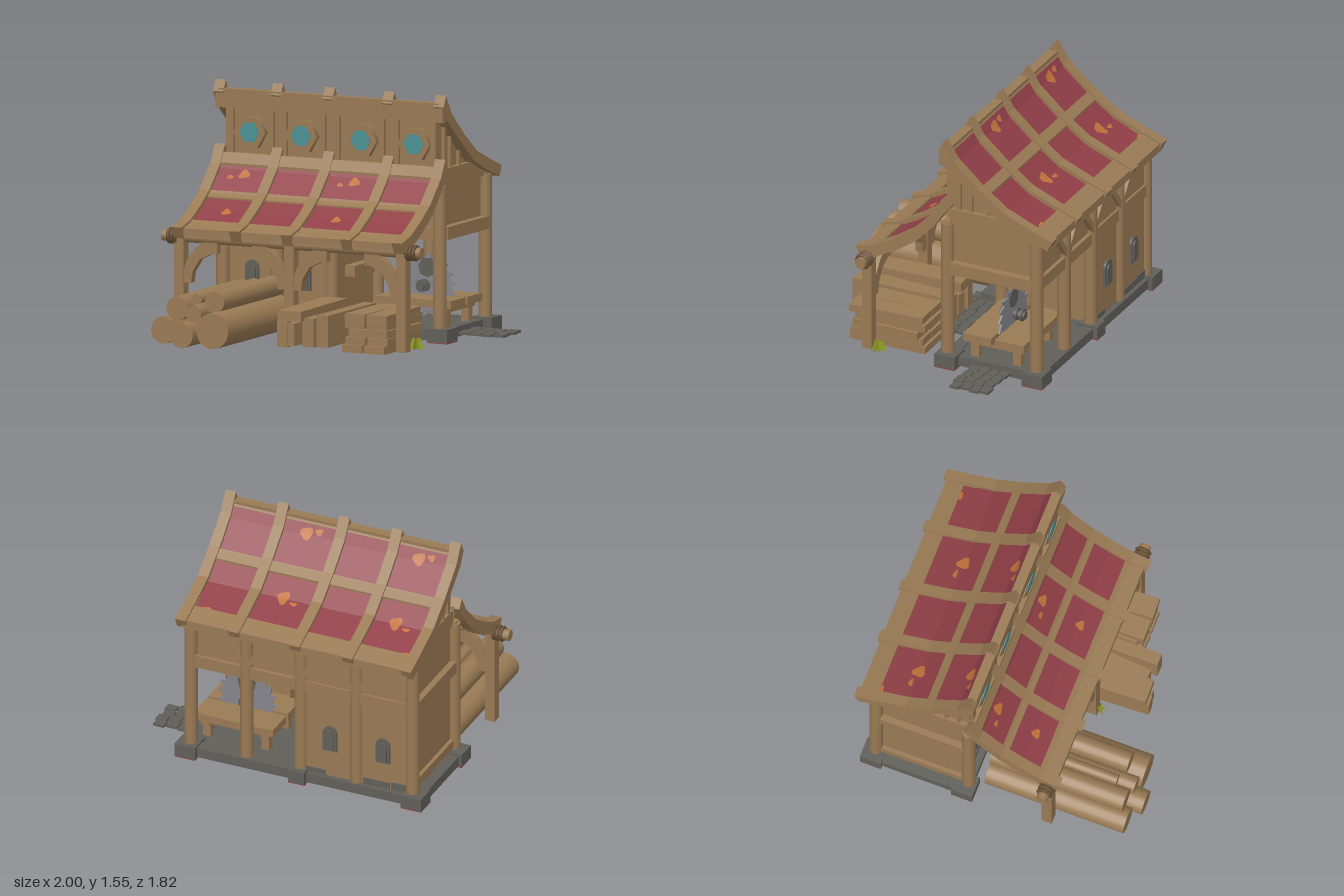
import * as THREE from 'three';

const mat = (name, color) => {
  const m = new THREE.MeshStandardMaterial({ color });
  m.name = name;
  return m;
};

// Roof top edges as [z, y]
const UPPER = [[-0.91, 1.02], [-0.75, 1.08], [-0.57, 1.155], [-0.4, 1.28], [-0.23, 1.43], [-0.155, 1.55]];
const LOWER = [[-0.145, 1.15], [-0.08, 1.035], [0.065, 0.89], [0.19, 0.805], [0.33, 0.73], [0.45, 0.7]];
const UPPER_UNDER = [[-0.12, 1.48], [-0.17, 1.39], [-0.3, 1.28], [-0.45, 1.16], [-0.55, 1.085], [-0.7, 1.02], [-0.88, 0.955]];
const LOWER_UNDER = [[0.415, 0.63], [0.32, 0.65], [0.17, 0.73], [0.03, 0.825], [-0.1, 0.965], [-0.185, 1.09]];
const RAFTERS = [-0.87, -0.47, -0.11, 0.305, 0.665];

function heightAt(prof, z) {
  for (let i = 1; i < prof.length; i++) {
    const [a, b] = [prof[i - 1], prof[i]];
    if (z <= b[0] || i === prof.length - 1) return a[1] + (b[1] - a[1]) * (z - a[0]) / (b[0] - a[0]);
  }
}

export function createModel() {
  const g = new THREE.Group();
  g.name = 'sawmill';
  const wood = mat('wood', 0x997a54), red = mat('roofRed', 0x903e46), orange = mat('patchOrange', 0xc0703a);
  const teal = mat('windowTeal', 0x4a9294), stone = mat('stone', 0x605f59), steel = mat('steel', 0x85858c);
  const green = mat('grass', 0x93a023), rope = mat('rope', 0x6b5237);
  orange.side = THREE.DoubleSide;
  green.side = THREE.DoubleSide;

  const add = (name, geo, m, x = 0, y = 0, z = 0) => {
    const mesh = new THREE.Mesh(geo, m);
    mesh.name = name;
    mesh.position.set(x, y, z);
    g.add(mesh);
    return mesh;
  };
  // Box given by its limits on each axis
  const box = (name, m, x0, x1, y0, y1, z0, z1) =>
    add(name, new THREE.BoxGeometry(x1 - x0, y1 - y0, z1 - z0), m, (x0 + x1) / 2, (y0 + y1) / 2, (z0 + z1) / 2);
  const shapeOf = pts => new THREE.Shape(pts.map(p => new THREE.Vector2(...p)));
  const plate = (name, m, shape, depth, x, y, z) =>
    add(name, new THREE.ExtrudeGeometry(shape, { depth, bevelEnabled: false, curveSegments: 6 }), m, x, y, z);
  // Side profile [z, y] drawn out from x0 to x1
  const profile = (name, m, pts, x0, x1) => {
    const geo = new THREE.ExtrudeGeometry(shapeOf(pts.map(([z, y]) => [-z, y])), { depth: x1 - x0, bevelEnabled: false });
    return add(name, geo.rotateY(Math.PI / 2), m, x0);
  };
  const rod = (name, m, r, len, axis, x, y, z, sides = 12) => {
    const geo = new THREE.CylinderGeometry(r, r, len, sides);
    if (axis === 'x') geo.rotateZ(Math.PI / 2);
    if (axis === 'z') geo.rotateX(Math.PI / 2);
    return add(name, geo, m, x, y, z);
  };
  // Strip that follows a roof curve between two z values
  const band = (name, m, prof, z0, z1, drop, thick, x0, x1) => {
    const zs = [z0, ...prof.map(p => p[0]).filter(z => z > z0 && z < z1), z1];
    const top = zs.map(z => [z, heightAt(prof, z) - drop]);
    profile(name, m, [...top, ...top.map(([z, y]) => [z, y - thick]).reverse()], x0, x1);
  };
  // Thin rounded blob lying on a roof curve
  const patch = (prof, x, z, rx, rz) => {
    const geo = new THREE.CircleGeometry(1, 14).rotateX(-Math.PI / 2);
    const p = geo.attributes.position;
    for (let i = 0; i < p.count; i++) {
      const k = 1 + 0.2 * Math.sin(3 * Math.atan2(p.getZ(i), p.getX(i)) + 0.8);
      const pz = z + p.getZ(i) * rz * k;
      p.setXYZ(i, x + p.getX(i) * rx * k, heightAt(prof, pz) - 0.022, pz);
    }
    geo.computeVertexNormals();
    add('roofPatch', geo, orange);
  };

  // Roofs: rafters, red panels on wooden lining, rails
  for (const x of RAFTERS) {
    profile('upperRafter', wood, [...UPPER, ...UPPER_UNDER], x - 0.035, x + 0.035);
    profile('lowerRafter', wood, [...LOWER, ...LOWER_UNDER], x - 0.035, x + 0.035);
  }
  band('upperPanel', red, UPPER, -0.8, -0.19, 0.028, 0.015, -0.85, 0.65);
  band('upperLining', wood, UPPER, -0.88, -0.18, 0.043, 0.02, -0.86, 0.655);
  band('lowerPanel', red, LOWER, -0.115, 0.35, 0.028, 0.015, -0.85, 0.65);
  band('lowerLining', wood, LOWER, -0.115, 0.4, 0.043, 0.02, -0.86, 0.655);
  for (const [z0, z1] of [[-0.89, -0.77], [-0.45, -0.395]])
    band('upperRail', wood, UPPER, z0, z1, 0.014, 0.055, -0.87, 0.665);
  band('ridgeRail', wood, UPPER, -0.2, -0.17, 0.03, 0.06, -0.87, 0.665);
  for (const [z0, z1, drop] of [[-0.125, -0.09, 0.012], [0.05, 0.095, 0.018], [0.3, 0.42, 0.014]])
    band('lowerRail', wood, LOWER, z0, z1, drop, 0.05, -0.87, 0.665);
  for (const x of [-0.65, 0.115]) {
    patch(UPPER, x, -0.575, 0.038, 0.042);
    patch(UPPER, x - 0.08, -0.6, 0.026, 0.013);
    patch(UPPER, x, -0.23, 0.04, 0.026);
    patch(UPPER, x - 0.08, -0.215, 0.024, 0.012);
    patch(LOWER, x, -0.05, 0.036, 0.024);
    patch(LOWER, x - 0.09, -0.03, 0.022, 0.01);
    patch(LOWER, x, 0.2, 0.03, 0.025);
  }
  for (const x of [-0.815, 0.55]) patch(UPPER, x, -0.765, 0.026, 0.016);

  // Attic body with its front trim
  profile('attic', wood, [[-0.17, 0.97], [-0.85, 0.97], [-0.85, 1.015], [-0.57, 1.1], [-0.4, 1.22], [-0.2, 1.4], [-0.17, 1.45]], -0.84, 0.63);
  box('ridgeBeam', wood, -0.89, 0.69, 1.38, 1.48, -0.175, -0.125);
  box('ridgeCap', wood, -0.87, 0.665, 1.48, 1.5, -0.185, -0.125);
  box('sillBeam', wood, -0.87, 0.66, 1.03, 1.1, -0.19, -0.13);
  for (const s of [-0.865, 0.625]) {
    profile('gableBeam', wood, [[-0.18, 0.97], [-0.85, 0.97], [-0.85, 1.02], [-0.7, 1.08], [-0.18, 1.08]], s, s + 0.035);
    for (const [z, h] of [[-0.24, 1.36], [-0.32, 1.28], [-0.44, 1.17]]) box('gableSlat', wood, s + 0.005, s + 0.025, 1.08, h, z - 0.012, z + 0.012);
  }
  for (const x of [-0.8, -0.52, -0.43, -0.16, -0.06, 0.25, 0.35, 0.61]) box('wallSlat', wood, x - 0.02, x + 0.02, 1.1, 1.39, -0.175, -0.15);
  for (const x of [-0.66, -0.3, 0.115, 0.485]) {
    rod('windowFrame', wood, 0.112, 0.045, 'z', x, 1.235, -0.1535, 6).rotation.z = Math.PI / 2;
    rod('windowPane', teal, 0.07, 0.008, 'z', x, 1.235, -0.131, 6).rotation.z = Math.PI / 2;
  }

  // Closed room, storey above the open bay, round posts
  box('room', wood, -0.85, -0.11, 0.06, 0.98, -0.79, -0.19);
  box('upperStorey', wood, -0.11, 0.64, 0.66, 0.98, -0.78, -0.19);
  for (const z of [-0.165, -0.78]) {
    for (const x of [-0.86, -0.48, -0.1, 0.65]) rod('post', wood, 0.042, 0.9, 'y', x, 0.53, z);
    box('wallBeam', wood, -0.86, 0.65, 0.64, 0.72, z - 0.025, z + 0.025);
    box('topBeam', wood, -0.88, 0.67, 0.92, 0.99, z - 0.03, z + 0.03);
  }
  rod('post', wood, 0.042, 0.9, 'y', 0.27, 0.53, -0.78);
  box('sideBeam', wood, 0.635, 0.69, 0.64, 0.72, -0.76, -0.2);
  box('sideBeam', wood, -0.89, -0.84, 0.64, 0.72, -0.78, -0.18);
  box('sideBeam', wood, -0.875, -0.84, 0.1, 0.16, -0.78, -0.18);
  for (const [x, d] of [[-0.1, 1], [-0.1, -1], [0.27, 1], [0.27, -1], [-0.48, 1], [-0.48, -1]])
    box('backBrace', wood, x + d * 0.09 - 0.018, x + d * 0.09 + 0.018, 0.71, 0.97, -0.815, -0.78).rotation.z = -d * 0.65;

  // Arched shutters, front and back
  const arch = (w, h) => {
    const s = new THREE.Shape();
    s.moveTo(-w, 0).lineTo(w, 0).lineTo(w, h - w).absarc(0, h - w, w, 0, Math.PI, false).lineTo(-w, 0);
    return s;
  };
  for (const x of [-0.665, -0.305]) for (const [z, s] of [[-0.195, 1], [-0.785, -1]]) {
    plate('shutter', stone, arch(0.048, 0.17), 0.02, x, 0.26, s > 0 ? z : z - 0.02);
    plate('shutterPanel', stone, arch(0.03, 0.13), 0.03, x, 0.275, s > 0 ? z : z - 0.03);
  }

  // Stone base
  box('floor', stone, -0.88, 0.64, 0.035, 0.07, -0.79, -0.17);
  for (const z of [-0.18, -0.785]) {
    box('curb', stone, -0.9, 0.68, 0.012, 0.076, z - 0.04, z + 0.04);
    for (const x of [-0.88, -0.1, 0.66]) {
      const w = x === -0.1 ? 0.055 : 0.07;
      box('cornerStone', stone, x - w, x + w, 0.006, 0.09, z - 0.07, z + 0.07);
      if (x !== -0.1 || z < -0.5) box('cornerStoneBottom', red, x - w, x + w, 0, 0.006, z - 0.07, z + 0.07);
    }
  }
  for (const [x0, x1] of [[-0.93, -0.85], [-0.14, -0.06], [0.6, 0.67]]) box('curb', stone, x0, x1, 0.012, 0.076, -0.78, -0.18);
  for (const [x, w, h] of [[-0.62, 0.09, 0.05], [-0.2, 0.07, 0.04], [-0.78, 0.06, 0.06]])
    for (const z of [-0.797, -0.191]) box('exposedStone', stone, x - w, x + w, 0.07, 0.07 + h, z, z + 0.008);

  // Paving beside and before the open bay
  const paving = (x0, z0, cols, rows) => {
    for (let j = 0; j < rows; j++) for (let i = 0; i < cols; i++) {
      const x = x0 + i * 0.081 + (j % 2) * 0.014, z = z0 + j * 0.066 + (i % 3) * 0.008;
      box('pavingStone', stone, x, x + 0.073, 0.028, 0.045, z, z + 0.06).rotation.y = ((i * 2 + j) % 3 - 1) * 0.04;
    }
  };
  paving(0.67, -0.61, 4, 4);
  paving(-0.25, -0.11, 7, 3);
  box('rock', stone, -0.3, -0.16, 0.02, 0.09, -0.1, 0.01);

  // Porch: beam, ropes, posts and curved braces
  rod('porchBeam', wood, 0.036, 1.8, 'x', -0.1, 0.635, 0.37);
  for (const x of [-0.95, -0.925, -0.9, 0.71, 0.735, 0.76])
    add('ropeRing', new THREE.TorusGeometry(0.042, 0.011, 6, 12).rotateY(Math.PI / 2), rope, x, 0.635, 0.37);
  for (const x of [-0.875, -0.11, 0.67]) box('porchPost', wood, x - 0.033, x + 0.033, 0.01, 0.64, 0.337, 0.403);
  const brace = [[0, 0.35], [0.05, 0.35], [0.06, 0.42], [0.11, 0.5], [0.19, 0.54], [0.23, 0.54], [0.23, 0.61], [0.13, 0.61], [0.07, 0.56], [0.02, 0.49], [0, 0.43]];
  for (const [x, d] of [[-0.845, 1], [-0.14, -1], [-0.08, 1], [0.64, -1]])
    plate('porchBrace', wood, shapeOf(brace.map(([a, y]) => [a * d, y])), 0.05, x, 0, 0.345);

  // Log pile: x, y, radius, front end
  for (const [x, y, r, end] of [[-0.755, 0.115, 0.085, 0.85], [-0.6, 0.1, 0.08, 0.91], [-0.415, 0.13, 0.112, 0.85],
    [-0.68, 0.25, 0.075, 0.81], [-0.555, 0.225, 0.055, 0.83], [-0.59, 0.3, 0.035, 0.72], [-0.45, 0.295, 0.067, 0.75]])
    rod('log', wood, r, end + 0.07, 'z', x, y, (end - 0.07) / 2, 18);

  // Plank piles: x0, x1, y0, y1, front end, turn
  for (const [x0, x1, y0, y1, end, turn] of [[-0.05, 0.02, 0.04, 0.2, 0.71, 0.05], [0.03, 0.1, 0.05, 0.19, 0.7, -0.06],
    [-0.05, 0.11, 0.2, 0.265, 0.69, 0.03], [0.13, 0.21, 0.04, 0.22, 0.64, -0.08], [0.22, 0.3, 0.05, 0.25, 0.67, 0]])
    box('plank', wood, x0, x1, y0, y1, 0.02, end).rotation.y = turn;
  for (let i = 0; i < 5; i++) for (let j = 0; j < 2; j++) {
    const x = 0.335 + j * 0.145 + (i * 7 % 3) * 0.008;
    box('stackedPlank', wood, x, x + 0.138, 0.008 + i * 0.049, 0.055 + i * 0.049, 0.01 + (i % 3) * 0.02, 0.53 - (i * 5 % 4) * 0.012)
      .rotation.y = ((i + j) % 3 - 1) * 0.04;
  }

  // Saw bench
  box('benchTop', wood, 0.13, 0.67, 0.195, 0.245, -0.7, -0.5);
  box('benchTop', wood, 0.13, 0.67, 0.195, 0.245, -0.475, -0.28);
  for (const x of [0.2, 0.6]) {
    box('benchCrossbar', wood, x - 0.03, x + 0.03, 0.165, 0.196, -0.68, -0.3);
    for (const z of [-0.34, -0.63]) box('benchLeg', wood, x - 0.025, x + 0.025, 0.07, 0.17, z - 0.028, z + 0.028);
  }
  box('shelf', wood, -0.11, -0.04, 0.34, 0.41, -0.63, -0.36);
  const teeth = [];
  for (let i = 0; i < 18; i++) {
    const a = i / 18 * Math.PI * 2;
    teeth.push([Math.cos(a) * 0.165, Math.sin(a) * 0.165], [Math.cos(a + 0.06) * 0.205, Math.sin(a + 0.06) * 0.205]);
  }
  plate('sawBlade', steel, shapeOf(teeth), 0.012, 0.395, 0.305, -0.496);
  rod('sawInset', stone, 0.064, 0.018, 'z', 0.4, 0.415, -0.49, 7);
  rod('sawAxle', stone, 0.026, 0.17, 'z', 0.39, 0.305, -0.49);
  for (const z of [-0.555, -0.52, -0.46, -0.425]) rod('axleDisc', stone, 0.04, 0.012, 'z', 0.39, 0.305, z);

  // Grass tufts
  for (const [x, z] of [[-0.11, 0.41], [0.715, 0.28]]) for (let i = 0; i < 3; i++) {
    const blade = add('grassTuft', new THREE.ShapeGeometry(shapeOf([[-0.046, 0], [0.046, 0], [0.04, 0.03], [0.027, 0.07], [0.01, 0.062], [-0.022, 0.072], [-0.036, 0.03]])), green, x, 0.02, z);
    blade.rotation.y = i * Math.PI / 3 + Math.PI / 6 * (x > 0);
  }
  return g;
}
